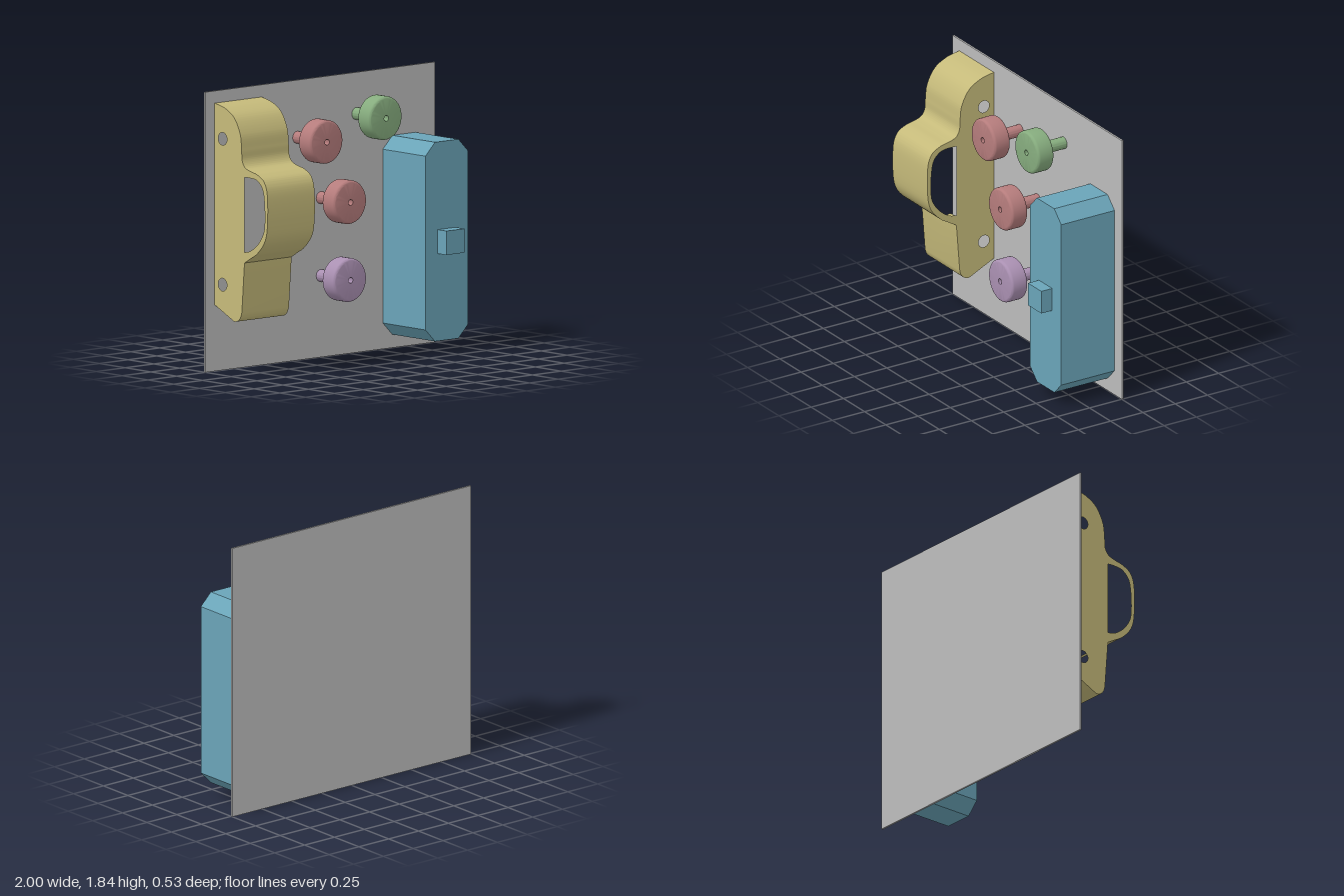
import * as THREE from 'three';
import { toCreasedNormals } from 'three/addons/utils/BufferGeometryUtils.js';

const material = (name, color) => {
  const m = new THREE.MeshStandardMaterial({ color });
  m.name = name;
  return m;
};
const points = (list) => list.map(([x, y]) => new THREE.Vector2(x, y));

export function createModel() {
  const model = new THREE.Group();
  const grey = material('plate grey', 0xbcbcbc);
  const yellow = material('handle yellow', 0xc5ba7a);
  const red = material('knob red', 0xb57c7c);
  const green = material('knob green', 0x86ac7e);
  const purple = material('knob purple', 0xaa90b2);
  const blue = material('case blue', 0x6aa4b8);

  const add = (name, geometry, mat, x = 0, y = 0, z = 0) => {
    const mesh = new THREE.Mesh(geometry, mat);
    mesh.name = name;
    mesh.position.set(x, y, z);
    model.add(mesh);
    return mesh;
  };

  const BACK = -0.25;

  // Thin backing plate
  add('backPlate', new THREE.BoxGeometry(2, 1.835, 0.013), grey, 0, 0.9175, BACK - 0.0065);

  // Handle block: side profile (z, y) extruded across x
  const profile = new THREE.Shape();
  profile.moveTo(BACK, 0.435);
  profile.lineTo(BACK, 1.755);
  profile.splineThru(points([
    [-0.15, 1.733], [-0.06, 1.68], [-0.002, 1.58], [0.012, 1.48], [0.017, 1.41],
    [0.045, 1.365], [0.1, 1.345], [0.165, 1.33], [0.23, 1.29], [0.262, 1.2],
    [0.262, 1.0], [0.235, 0.895], [0.165, 0.815], [0.1, 0.775], [0.04, 0.74],
  ]));
  profile.lineTo(0.015, 0.42);
  profile.quadraticCurveTo(0.005, 0.345, -0.06, 0.345);
  profile.lineTo(BACK, 0.435);

  // Finger opening and two bolt holes
  const opening = new THREE.Path();
  opening.moveTo(0.04, 1.3);
  opening.splineThru(points([
    [0.1, 1.302], [0.165, 1.29], [0.217, 1.235], [0.235, 1.13], [0.235, 1.0],
    [0.215, 0.935], [0.165, 0.87], [0.1, 0.825], [0.04, 0.81],
  ]));
  opening.lineTo(0.04, 1.3);
  profile.holes.push(opening);
  for (const y of [0.575, 1.53]) {
    profile.holes.push(new THREE.Path().absarc(-0.172, y, 0.042, 0, Math.PI * 2, true));
  }
  const handle = new THREE.ExtrudeGeometry(profile, { depth: 0.41, bevelEnabled: false, curveSegments: 16 });
  handle.rotateY(-Math.PI / 2);
  add('handleBlock', toCreasedNormals(handle, 0.6), yellow, -0.51);

  // Round knobs on stems, each with a small centre bore
  const R = 0.143, fillet = 0.02, front = 0.04, rear = -0.085, stem = 0.04, bore = 0.019;
  const arc = (cy, start) => [0, 1, 2, 3, 4, 5].map((i) => {
    const a = start + (i / 5) * (Math.PI / 2);
    return [R - fillet + Math.cos(a) * fillet, cy + Math.sin(a) * fillet];
  });
  const knobProfile = points([
    [bore, BACK], [stem, BACK], [stem, rear],
    ...arc(rear + fillet, -Math.PI / 2), ...arc(front - fillet, 0),
    [bore, front], [bore, BACK],
  ]);
  const knob = toCreasedNormals(
    new THREE.LatheGeometry(knobProfile, 48).rotateX(Math.PI / 2).toNonIndexed(), 0.6);
  add('upperRedKnob', knob, red, -0.2, 1.46);
  add('middleRedKnob', knob, red, 0.005, 1.045);
  add('greenKnob', knob, green, 0.315, 1.565);
  add('purpleKnob', knob, purple, 0.005, 0.535);

  // Tall case with clipped corners
  const [w, h, c] = [0.185, 0.652, 0.083];
  const outline = new THREE.Shape(points([
    [-w + c, -h], [w - c, -h], [w, -h + c], [w, h - c],
    [w - c, h], [-w + c, h], [-w, h - c], [-w, -h + c],
  ]));
  add('tallCase', new THREE.ExtrudeGeometry(outline, { depth: 0.413, bevelEnabled: false }), blue, 0.73, 0.739, BACK);

  // Square button on the case front
  add('caseButton', new THREE.BoxGeometry(0.157, 0.157, 0.095), blue, 0.73, 0.738, 0.2);

  return model;
}
